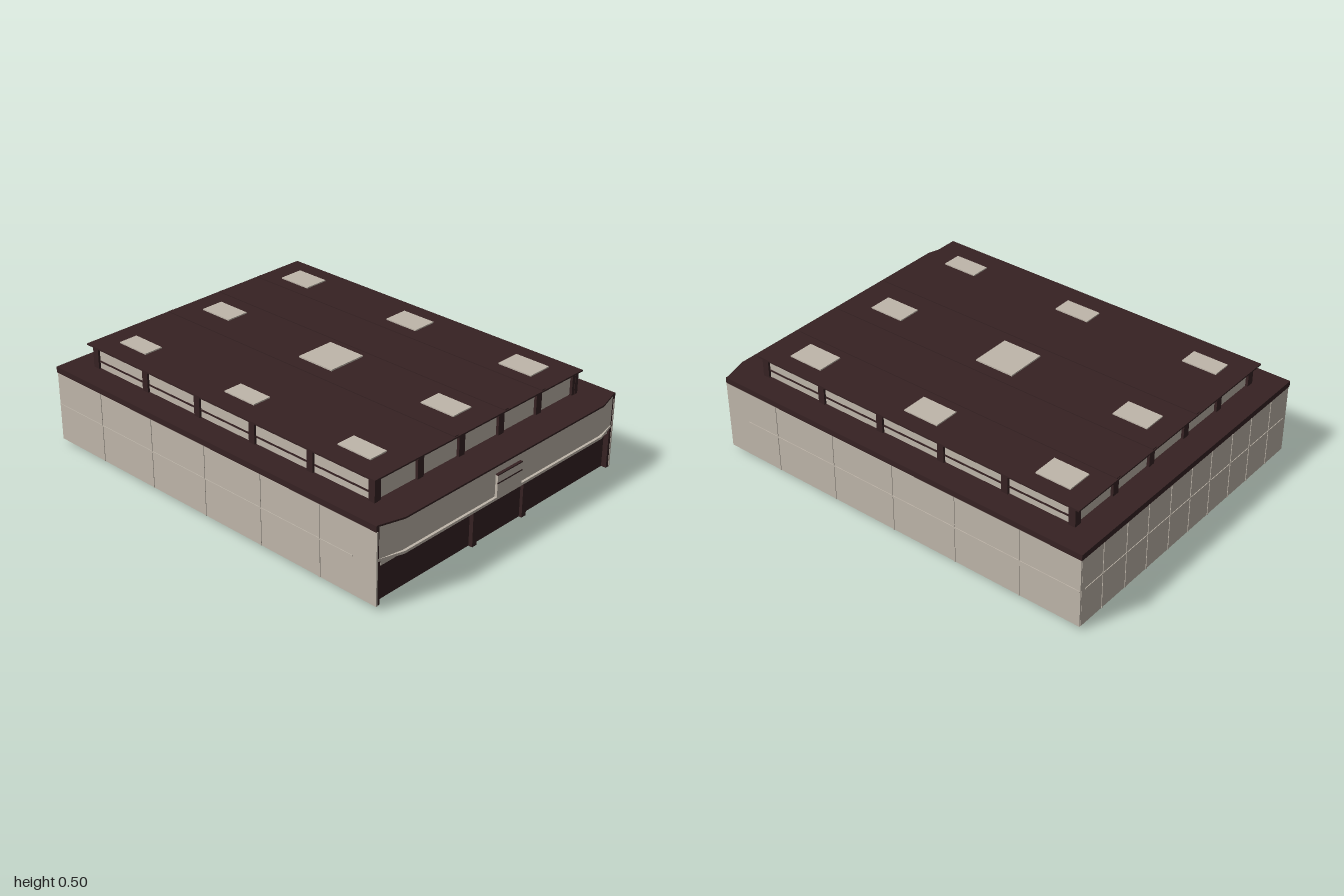
import * as THREE from 'three';

const stone = new THREE.MeshStandardMaterial({ color: 0xbfb6aa });
stone.name = 'stone';
const brown = new THREE.MeshStandardMaterial({ color: 0x362223 });
brown.name = 'dark brown';
const grey = new THREE.MeshStandardMaterial({ color: 0x6a6a6a });
grey.name = 'floor grey';

export function createModel() {
  const model = new THREE.Group();
  model.name = 'pavilion';

  // Box given by its minimum and maximum on each axis
  const box = (name, mat, x0, x1, y0, y1, z0, z1) => {
    const mesh = new THREE.Mesh(new THREE.BoxGeometry(x1 - x0, y1 - y0, z1 - z0), mat);
    mesh.position.set((x0 + x1) / 2, (y0 + y1) / 2, (z0 + z1) / 2);
    mesh.name = name;
    model.add(mesh);
    return mesh;
  };
  // Horizontal prism from a plan outline of [x, z] points
  const prism = (name, mat, points, y0, y1, hole) => {
    const toVec = ([x, z]) => new THREE.Vector2(x, -z);
    const shape = new THREE.Shape(points.map(toVec));
    if (hole) shape.holes.push(new THREE.Path(hole.map(toVec)));
    const geo = new THREE.ExtrudeGeometry(shape, { depth: y1 - y0, bevelEnabled: false });
    geo.rotateX(-Math.PI / 2);
    const mesh = new THREE.Mesh(geo, mat);
    mesh.position.y = y0;
    mesh.name = name;
    model.add(mesh);
  };

  // Main hall and its floor
  box('hallCore', brown, -0.985, 0.94, 0.02, 0.36, -0.755, 0.755);
  box('floor', grey, -0.9, 0.87, 0.014, 0.022, -0.67, 0.67);

  // Long walls: stone skin on a dark backing, with fine joints
  for (const s of [1, -1]) {
    const span = (a, b) => [Math.min(s * a, s * b), Math.max(s * a, s * b)];
    box('longWall', stone, -0.994, 0.968, 0.02, 0.36, ...span(0.76, 0.768));
    box('wallBacking', brown, -0.99, 0.966, 0.02, 0.36, ...span(0.745, 0.76));
    for (let i = 0; i < 5; i++) {
      const x = -0.69 + i * 0.338;
      box('wallJoint', stone, x - 0.003, x + 0.003, 0.02, 0.36, ...span(0.768, 0.771));
    }
    box('wallRail', stone, -0.99, 0.84, 0.197, 0.203, ...span(0.768, 0.771));
  }

  // Closed end wall
  box('endWall', stone, -0.995, -0.985, 0.02, 0.36, -0.76, 0.76);
  box('endWallRail', stone, -0.998, -0.995, 0.197, 0.203, -0.74, 0.74);
  for (const z of [-0.62, -0.46, -0.31, -0.15, 0, 0.15, 0.31, 0.46, 0.62])
    box('endWallJoint', stone, -0.998, -0.995, 0.02, 0.36, z - 0.003, z + 0.003);

  // Lower roof with fascia, running out over the entrance side
  const plan = (x) => [[0.9, 0.768], [0.963, 0.768], [x, 0.64], [x, -0.64], [0.963, -0.768], [0.9, -0.768]];
  box('lowerRoof', brown, -0.998, 0.966, 0.36, 0.388, -0.77, 0.77);
  prism('entranceRoofEdge', brown, plan(1.0), 0.38, 0.388);

  // Entrance band with splayed ends and a lip along its foot
  prism('entranceBand', stone, plan(0.988), 0.222, 0.38);
  prism('entranceBandLip', stone, plan(1.0), 0.222, 0.234);
  box('entrancePortal', stone, 0.9, 1.0, 0.222, 0.335, -0.08, 0.08);
  box('portalSlot', brown, 0.995, 1.001, 0.296, 0.302, -0.08, 0.08);
  box('portalTop', brown, 0.9, 1.001, 0.335, 0.34, -0.08, 0.08);

  // Entrance wall under the band
  box('doors', brown, 0.93, 0.945, 0.02, 0.2, -0.15, 0.15);
  for (const s of [1, -1]) {
    box('doorPost', brown, 0.93, 0.96, 0.02, 0.222, s * 0.163 - 0.014, s * 0.163 + 0.014);
    box('endLamp', stone, 0.93, 0.962, 0.195, 0.222, s * 0.695 - 0.043, s * 0.695 + 0.043);
  }

  // Raised clerestory: window body, posts and sill rails
  box('clerestoryWindows', stone, -0.862, 0.832, 0.388, 0.49, -0.64, 0.64);
  for (let i = 0; i < 6; i++) {
    const x = -0.858 + i * 0.3376;
    const z = -0.632 + i * 0.2528;
    for (const s of [1, -1]) {
      box('longSidePost', brown, x - 0.017, x + 0.017, 0.388, 0.49, s * 0.641 - 0.01, s * 0.641 + 0.01);
      const ex = s > 0 ? 0.834 : -0.864;
      box('endPost', brown, ex - 0.011, ex + 0.011, 0.388, 0.49, z - 0.018, z + 0.018);
    }
  }
  for (const s of [1, -1])
    box('windowRail', brown, -0.86, 0.83, 0.42, 0.427, s * 0.641 - 0.003, s * 0.641 + 0.003);

  // Upper roof with low ribs
  box('upperRoof', brown, -0.905, 0.855, 0.49, 0.497, -0.67, 0.66);
  for (const z of [-0.4, -0.15, 0.17])
    box('roofRib', brown, -0.9, 0.85, 0.497, 0.501, z - 0.012, z + 0.012);

  // Skylights: a three by three grid with a larger one in the middle
  const columns = [[-0.8, -0.625], [-0.11, 0.07], [0.555, 0.735]];
  const rows = [[-0.585, -0.46], [-0.06, 0.055], [0.46, 0.555]];
  columns.forEach((c, i) => rows.forEach((r, j) => {
    if (i === 1 && j === 1) box('centreSkylight', stone, -0.12, 0.08, 0.497, 0.504, -0.1, 0.1);
    else box('skylight', stone, c[0], c[1], 0.497, 0.503, r[0], r[1]);
  }));

  // Stepped ring under the floor
  const corner = [[0.51, 0.25], [0.38, 0.25], [0.38, 0.39], [0.25, 0.39], [0.25, 0.52]];
  const mirrored = (sx, sz) => corner.map(([x, z]) => [x * sx, z * sz]);
  const ring = (inset) => [
    ...mirrored(1, 1), ...mirrored(-1, 1).reverse(),
    ...mirrored(-1, -1), ...mirrored(1, -1).reverse(),
  ].map(([x, z]) => [x - Math.sign(x) * inset - 0.147, z - Math.sign(z) * inset]);
  prism('floorRing', brown, ring(0), 0, 0.015, ring(0.015));

  // Rectangular frame under the floor near the entrance
  const rect = (h, w) => [[0.57 - h, -w], [0.57 + h, -w], [0.57 + h, w], [0.57 - h, w]];
  prism('floorFrame', grey, rect(0.08, 0.16), 0.009, 0.015, rect(0.068, 0.148));

  return model;
}
